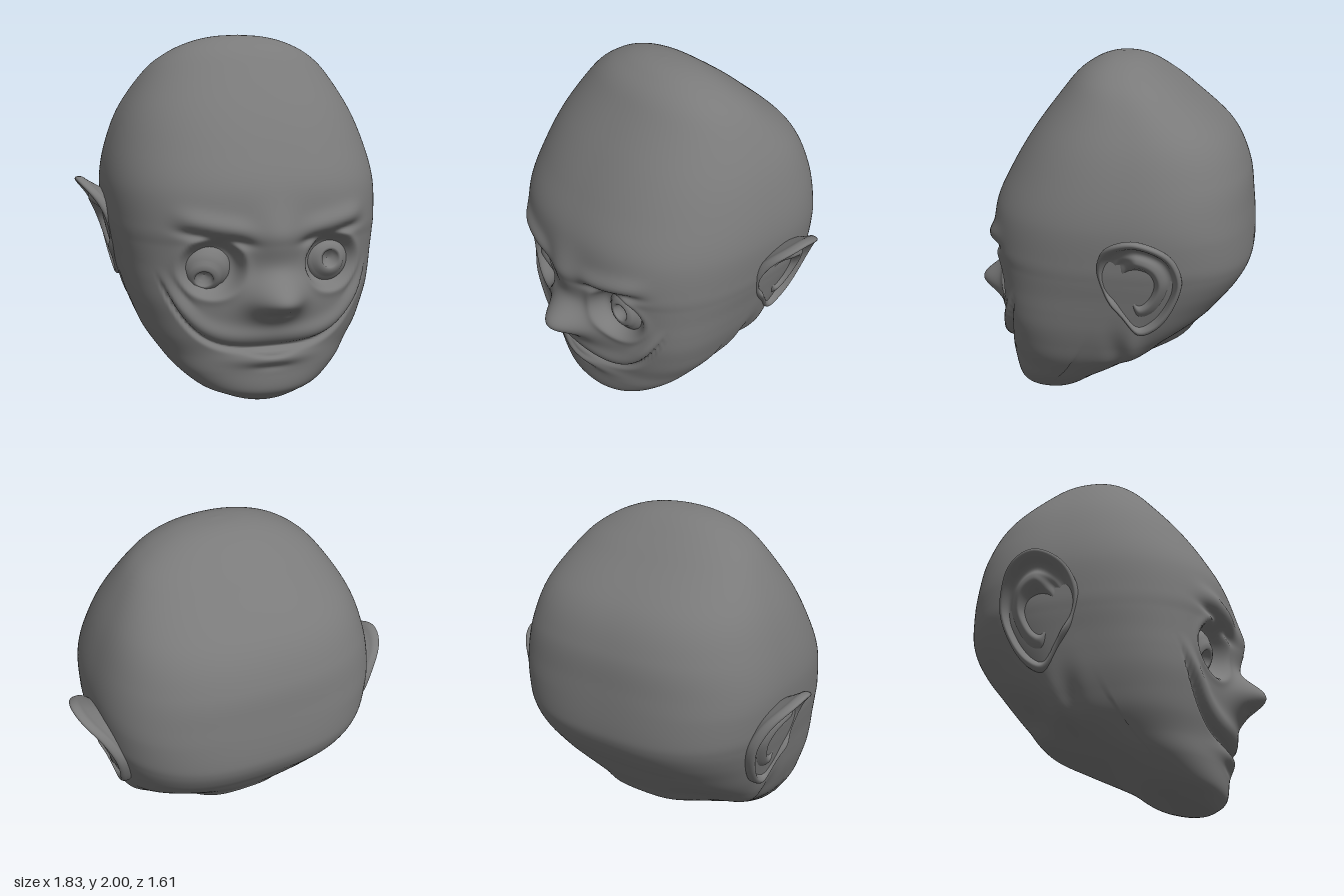
import * as THREE from 'three';
import { mergeVertices } from 'three/addons/utils/BufferGeometryUtils.js';

const material = new THREE.MeshStandardMaterial({ color: 0x7a7a7a });
const gauss = (d, s) => Math.exp(-((d / s) ** 2));
const { smoothstep, clamp } = THREE.MathUtils;

// Smooth closed-ring surface: fn(u, v) gives a point, u runs around, v runs along the rows.
function ringSurface(rows, cols, fn) {
  const pos = [], index = [];
  for (let i = 0; i <= rows; i++)
    for (let j = 0; j < cols; j++) pos.push(...fn(j / cols, i / rows));
  for (let i = 0; i < rows; i++)
    for (let j = 0; j < cols; j++) {
      const k = (j + 1) % cols;
      const a = i * cols + j, b = i * cols + k, c = a + cols, d = b + cols;
      index.push(a, b, c, b, d, c);
    }
  let g = new THREE.BufferGeometry();
  g.setAttribute('position', new THREE.Float32BufferAttribute(pos, 3));
  g.setIndex(index);
  g = mergeVertices(g, 1e-5);
  g.computeVertexNormals();
  return g;
}

// Head sections from chin to crown: y, half width, front z, back z, widest z, squareness
const SECTIONS = [
  [0, 0, 0.41, 0.41, 0.41, 2],
  [0.015, 0.12, 0.48, 0.31, 0.4, 2],
  [0.05, 0.235, 0.53, 0.22, 0.36, 2.1],
  [0.1, 0.35, 0.565, 0.12, 0.32, 2.2],
  [0.2, 0.47, 0.575, -0.02, 0.26, 2.25],
  [0.3, 0.55, 0.575, -0.23, 0.18, 2.35],
  [0.4, 0.615, 0.583, -0.43, 0.12, 2.55],
  [0.5, 0.655, 0.59, -0.515, 0.07, 2.75],
  [0.6, 0.687, 0.597, -0.595, 0.03, 2.9],
  [0.7, 0.71, 0.604, -0.67, -0.02, 2.95],
  [0.8, 0.73, 0.615, -0.745, -0.07, 2.9],
  [0.9, 0.752, 0.635, -0.795, -0.1, 2.75],
  [1.0, 0.768, 0.657, -0.805, -0.13, 2.65],
  [1.2, 0.776, 0.64, -0.79, -0.15, 2.5],
  [1.4, 0.737, 0.548, -0.76, -0.16, 2.4],
  [1.6, 0.658, 0.425, -0.66, -0.16, 2.35],
  [1.8, 0.525, 0.275, -0.44, -0.12, 2.2],
  [1.9, 0.405, 0.19, -0.31, -0.08, 2.15],
  [1.96, 0.275, 0.105, -0.215, -0.06, 2.1],
  [1.99, 0.145, 0.03, -0.135, -0.05, 2],
  [2, 0, -0.05, -0.05, -0.05, 2],
];
const sectionCurve = (start) => new THREE.CatmullRomCurve3(
  SECTIONS.map((s) => new THREE.Vector3(...s.slice(start, start + 3))), false, 'catmullrom');

// Height of the facial features over the plain skull
function faceRelief(x, y) {
  const ax = Math.abs(x);
  let d = 0;
  // nose, its flanks and the bridge up between the brows
  d += 0.15 * gauss(x, 0.13) * gauss(y - 0.63, y > 0.63 ? 0.11 : 0.095);
  d += 0.065 * gauss(x, 0.24) * gauss(y - 0.57, 0.15);
  d += 0.06 * gauss(x, 0.13) * gauss(y - 0.91, 0.17);
  d -= 0.015 * gauss(ax - 0.035, 0.04) * gauss(y - 0.55, 0.02);
  // eye sockets and lids
  const e = Math.hypot((ax - 0.33) * 0.95, y - 0.79);
  d -= 0.09 * Math.exp(-((e / 0.142) ** 8));
  d += 0.008 * gauss(e - 0.165, 0.028);
  // slanted brows with a crease beneath
  const brow = y - (0.925 + 0.18 * (ax - 0.17));
  const span = Math.exp(-(((ax - 0.32) / 0.18) ** 4));
  d += 0.03 * gauss(brow - 0.07, 0.05) * span;
  d -= 0.03 * gauss(brow + 0.002, 0.026) * span;
  // wide grin: overhanging cheek edge, groove and second fold, fading below the temples
  const grin = y - (0.345 + 3.2 * ax ** 4);
  const reach = (1 - smoothstep(y, 0.55, 0.8)) * (1 - smoothstep(ax, 0.54, 0.64));
  d += 0.027 * gauss(grin - 0.065, 0.055) * reach;
  d -= 0.036 * gauss(grin, 0.02) * reach;
  d -= 0.014 * gauss(grin - 0.15, 0.025) * gauss(ax - 0.5, 0.07) * reach;
  // lower lip, mouth line and chin crease
  d += 0.04 * gauss(x, 0.2) * gauss(y - 0.28, 0.045);
  d -= 0.012 * gauss(x, 0.12) * gauss(y - 0.3 - x * x, 0.01);
  d -= 0.01 * gauss(x, 0.1) * gauss(y - 0.23, 0.02);
  return d;
}

function headGeometry() {
  const outer = sectionCurve(0), inner = sectionCurve(3);
  return ringSurface(230, 240, (u, v) => {
    const { x: y, y: w, z: front } = outer.getPoint(v);
    const { x: back, y: mid, z: n0 } = inner.getPoint(v);
    // angle starts at the face, where the columns are closer together
    const a = u * Math.PI * 2, t = a - 0.4 * Math.sin(a);
    const s = Math.sin(t), c = Math.cos(t);
    const n = c > 0 ? n0 : Math.min(n0 + 0.2, 2.75);
    const r = (Math.abs(s) ** n + Math.abs(c) ** n) ** (-1 / n);
    let x = w * r * s;
    let z = mid + (c > 0 ? front - mid : mid - back) * r * c;
    if (c > 0) {
      const d = faceRelief(x, y) * smoothstep(c, 0.05, 0.45);
      x += d * s * 0.7;
      z += d * c;
    } else {
      // hollows beside the nape and the jaw ridge under the ear
      const hollow = gauss(Math.abs(x) - 0.4, 0.16) * gauss(y - 0.42, 0.14);
      x += Math.sign(s) * (gauss(y - 0.47, 0.13) *
        (0.02 * gauss(z + 0.22, 0.05) - 0.018 * gauss(z + 0.12, 0.05)) - 0.035 * hollow);
      z += 0.075 * hollow;
    }
    return [x, y, z];
  });
}

// Ear outline (y, z), profile from its back to the hollow (scale, height), outward lean (x, y)
const EAR_OUTLINE = new THREE.CatmullRomCurve3([
  [0.95, -0.475], [1.12, -0.41], [1.195, -0.25], [1.13, -0.1], [1.0, -0.045],
  [0.85, -0.075], [0.72, -0.16], [0.61, -0.25], [0.65, -0.34], [0.78, -0.43],
].map(([y, z]) => new THREE.Vector3(0, y, z)), true);
const EAR_PROFILE = new THREE.CatmullRomCurve3([
  [0.5, -0.2], [0.75, -0.1], [0.92, -0.04], [1, -0.012], [1, 0.015], [0.94, 0.028],
  [0.87, 0.012], [0.8, -0.02], [0.7, -0.024], [0.6, 0], [0.5, 0.01], [0.42, -0.005],
  [0.3, -0.045], [0, -0.05],
].map(([s, h]) => new THREE.Vector3(s, h, 0)));
const EAR_LEAN = new THREE.SplineCurve(
  [[0.665, 0.6], [0.715, 0.75], [0.768, 0.9], [0.825, 1.05], [0.895, 1.2]]
    .map(([x, y]) => new THREE.Vector2(x, y)));

function earGeometry(side) {
  return ringSurface(56, 72, (u, v) => {
    const o = EAR_OUTLINE.getPoint(side > 0 ? u : (1 - u) % 1);
    const p = EAR_PROFILE.getPoint(v);
    const y = 0.92 + (o.y - 0.92) * p.x;
    const z = -0.26 + (o.z + 0.26) * p.x;
    const lean = EAR_LEAN.getPoint(clamp((y - 0.6) / 0.6, 0, 1)).x;
    // the inner fold opens towards the face, with a small flap in front of the hollow
    const fold = -0.045 * gauss(p.x - 0.53, 0.12) * smoothstep(o.z, -0.26, -0.1);
    const flap = 0.025 * gauss(y - 0.82, 0.06) * gauss(z + 0.14, 0.045);
    return [side * (lean + p.y + fold + flap - 1.1 * (z + 0.26) ** 2), y, z];
  });
}

// Eyeball with a raised iris ring and a hollow pupil, turned along its gaze
function eye(name, x, gaze) {
  const profile = [[0, -0.16], [0.11, -0.116], [0.16, 0], [0.148, 0.06], [0.126, 0.098],
    [0.106, 0.118], [0.096, 0.122], [0.084, 0.138], [0.062, 0.15], [0.048, 0.147],
    [0.038, 0.115], [0, 0.105]].map(([r, h]) => new THREE.Vector2(r, h));
  const mesh = new THREE.Mesh(new THREE.LatheGeometry(profile, 48), material);
  mesh.name = name;
  mesh.position.set(x, 0.79, 0.41);
  mesh.quaternion.setFromUnitVectors(
    new THREE.Vector3(0, 1, 0), new THREE.Vector3(...gaze).normalize());
  return mesh;
}

export function createModel() {
  const model = new THREE.Group();
  model.name = 'head';
  const add = (name, geometry) => {
    const mesh = new THREE.Mesh(geometry, material);
    mesh.name = name;
    model.add(mesh);
  };
  add('skullAndFace', headGeometry());
  add('leftEar', earGeometry(1));
  add('rightEar', earGeometry(-1));
  model.add(eye('leftEye', 0.325, [0.08, 0.05, 1]));
  model.add(eye('rightEye', -0.33, [-0.24, -0.42, 0.87]));
  return model;
}
